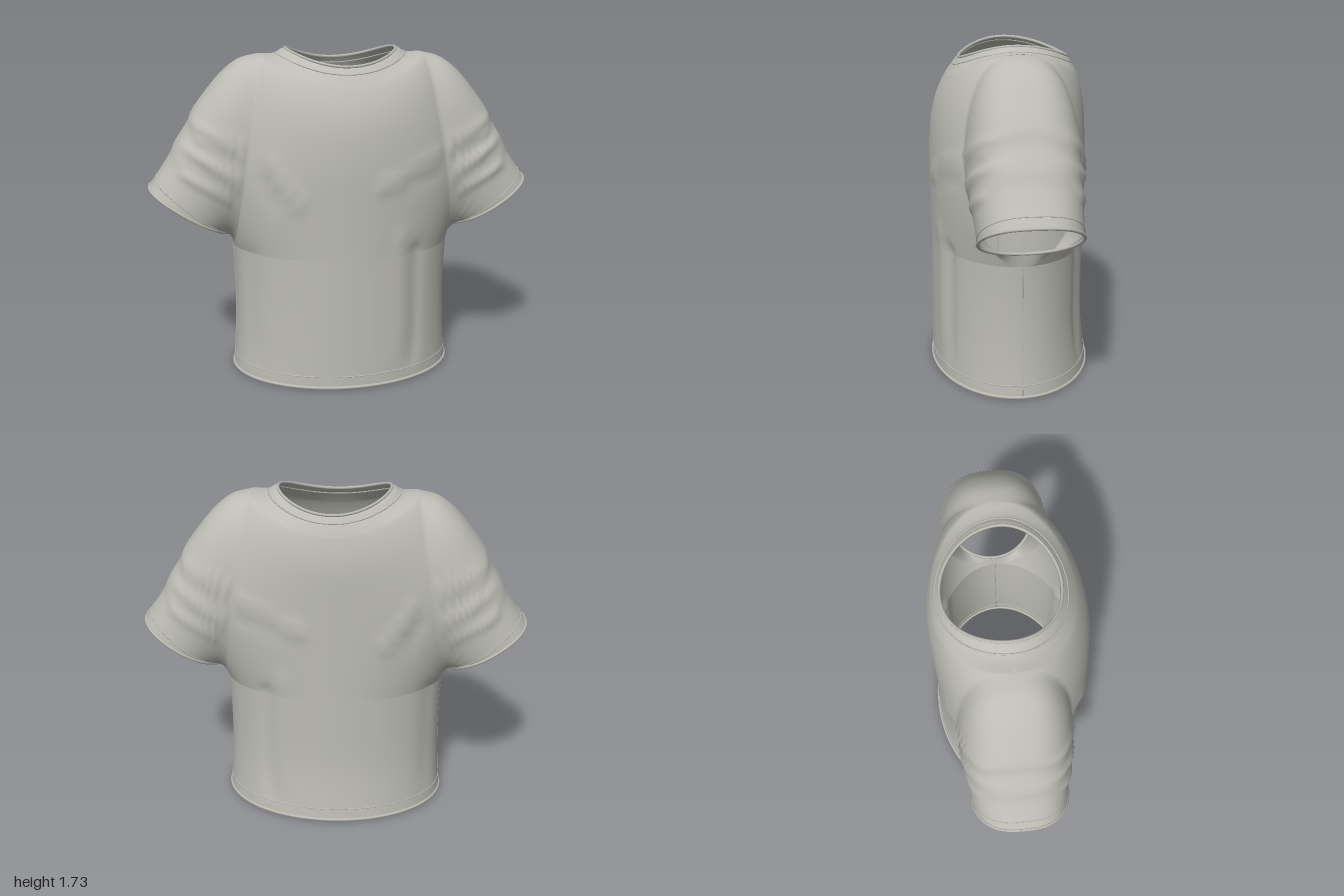
import * as THREE from 'three';
import { mergeGeometries, mergeVertices } from 'three/addons/utils/BufferGeometryUtils.js';

const lerp = THREE.MathUtils.lerp;
const STEPS = 28; // samples along half an armhole
const COLS = 56; // samples across a body panel

// Depth of the centre line at each height, as [y, z]
const FRONT = [[-0.2, 0.43], [0.1, 0.427], [0.7, 0.42], [1.15, 0.425], [1.3, 0.415], [1.4, 0.4], [1.5, 0.365], [1.6, 0.305], [1.645, 0.262], [1.75, 0.16]];
const BACK = [[-0.2, 0.45], [0, 0.42], [0.15, 0.4], [0.3, 0.383], [0.7, 0.38], [1.4, 0.38], [1.5, 0.365], [1.6, 0.335], [1.645, 0.3], [1.75, 0.22]];

// Cloth folds: start x, y, end x, y, height, width
const SLEEVE_FOLDS = [
  [0.53, 1.25, 0.8, 1.39, 0.014, 0.02], [0.56, 1.1, 0.84, 1.27, 0.016, 0.025],
  [0.6, 1.0, 0.82, 1.12, 0.012, 0.022], [0.56, 1.18, 0.74, 1.25, -0.01, 0.02],
];
const FOLDS = [
  [0.14, 1.07, 0.46, 1.19, 0.014, 0.025], [0.28, 1.07, 0.46, 1.12, -0.01, 0.025],
  [-0.42, 1.2, -0.25, 0.98, 0.014, 0.025], [-0.44, 1.14, -0.38, 0.98, -0.01, 0.025],
  [0.34, 0.15, 0.34, 0.72, -0.014, 0.035], [0.26, 0.2, 0.25, 0.8, 0.008, 0.04],
  [-0.5, 0.15, -0.5, 0.7, -0.01, 0.04],
  ...SLEEVE_FOLDS, ...SLEEVE_FOLDS.map(([a, b, c, d, h, w]) => [-a, b, -c, d, h, w]),
];

function linear(table, y) {
  let i = 0;
  while (i < table.length - 2 && y > table[i + 1][0]) i++;
  const [a, b] = [table[i], table[i + 1]];
  return lerp(a[1], b[1], (y - a[0]) / (b[0] - a[0]));
}

function profile(table, y) {
  return [-0.05, -0.025, 0, 0.025, 0.05].reduce((sum, d) => sum + linear(table, y + d) / 5, 0);
}

function crumple(p) {
  let push = 0;
  for (const [x1, y1, x2, y2, height, width] of FOLDS) {
    const dx = x2 - x1, dy = y2 - y1;
    const k = THREE.MathUtils.clamp(((p.x - x1) * dx + (p.y - y1) * dy) / (dx * dx + dy * dy), 0, 1);
    const d = Math.hypot(p.x - x1 - k * dx, p.y - y1 - k * dy);
    push += height * Math.exp(-((d / width) ** 2));
  }
  p.z += push * THREE.MathUtils.clamp(p.z / 0.2, -1, 1);
  return p;
}

// Sleeve rings fan out from the armpit; s = 0 is the armhole and s = 1 the cuff
const sleeveTop = new THREE.CatmullRomCurve3([
  [0.42, 1.695], [0.52, 1.67], [0.61, 1.605], [0.69, 1.515], [0.775, 1.4], [0.79, 1.36],
  [0.865, 1.245], [0.89, 1.19], [1, 1.025],
].map(([x, y]) => new THREE.Vector3(x, y, 0)));

function sleevePoint(s, angle) {
  const top = sleeveTop.getPointAt(s);
  const k = (1 - Math.cos(angle)) / 2;
  const sin = Math.sin(angle);
  const depth = sin > 0 ? lerp(0.27, 0.235, s) : lerp(0.28, 0.25, s);
  const round = Math.abs(sin) < 1e-6 ? 0 : Math.abs(sin) ** (k > 0.5 ? 0.75 : 1);
  return new THREE.Vector3(lerp(lerp(0.58, 0.59, s), top.x, k), lerp(lerp(0.7, 0.77, s), top.y, k), Math.sign(sin) * depth * round);
}

// Body rows: outer edge and centre height, from hem to neckline
function bodyRows() {
  const rows = [];
  for (const [y, x] of [[0.01, 0.595], [0.04, 0.593], [0.07, 0.589], [0.15, 0.583], [0.25, 0.577], [0.35, 0.574], [0.45, 0.573], [0.55, 0.574], [0.63, 0.577]]) {
    rows.push({ edge: () => new THREE.Vector3(x, y, 0), centre: y });
  }
  for (let i = 0; i <= STEPS; i++) {
    const angle = Math.PI * i / STEPS;
    rows.push({ edge: side => sleevePoint(0, side * angle), centre: lerp(0.7, 1.55, (1 - Math.cos(angle)) / 2) });
  }
  for (const [x, y, centre] of [[0.39, 1.692, 1.572], [0.36, 1.692, 1.592], [0.335, 1.697, 1.61], [0.32, 1.706, 1.62], [0.305, 1.717, 1.632], [0.285, 1.72, 1.645]]) {
    rows.push({ edge: () => new THREE.Vector3(x, y, 0), centre });
  }
  return rows;
}

function bodyPoint(row, side, u) {
  const edge = row.edge(side);
  const depth = profile(side > 0 ? FRONT : BACK, row.centre);
  const end = Math.acos(Math.min(1, Math.abs(edge.z) / depth));
  const t = u * end;
  const lift = (Math.sin(t) / Math.sin(end)) ** 2;
  return new THREE.Vector3(edge.x * Math.sin(t) / Math.sin(end), lerp(row.centre, edge.y, lift), side * depth * Math.cos(t));
}

function grid(rows, cols, point, flip) {
  const positions = [], index = [];
  for (let r = 0; r <= rows; r++) {
    for (let c = 0; c <= cols; c++) {
      positions.push(...crumple(point(r, c)).toArray());
      if (r === rows || c === cols) continue;
      const a = r * (cols + 1) + c, b = a + cols + 1;
      if (flip) index.push(a, b + 1, a + 1, a, b, b + 1);
      else index.push(a, a + 1, b + 1, a, b + 1, b);
    }
  }
  const g = new THREE.BufferGeometry();
  g.setAttribute('position', new THREE.Float32BufferAttribute(positions, 3));
  g.setIndex(index);
  return g;
}

export function createModel() {
  const shirt = new THREE.Group();
  shirt.name = 'shirt';
  const cloth = new THREE.MeshStandardMaterial({ color: 0xbcbcb4 });
  cloth.name = 'grey cloth';
  cloth.side = THREE.DoubleSide;

  const add = (name, geometry) => {
    const mesh = new THREE.Mesh(geometry, cloth);
    mesh.name = name;
    shirt.add(mesh);
  };
  const cord = (name, points, radius) => add(name,
    new THREE.TubeGeometry(new THREE.CatmullRomCurve3(points.map(crumple), true), 160, radius, 6, true));

  // Front, back and both sleeves share one smooth skin
  const rows = bodyRows();
  const SLEEVE_ROWS = 40;
  const mirrored = (p, side) => { p.x *= side; return p; };
  const panels = [1, -1].map(side =>
    grid(rows.length - 1, COLS, (r, c) => bodyPoint(rows[r], side, 2 * c / COLS - 1), side < 0));
  const sleeves = [1, -1].map(side =>
    grid(SLEEVE_ROWS, STEPS * 2, (r, c) => {
      const angle = c <= STEPS ? Math.PI * c / STEPS : -Math.PI * (2 * STEPS - c) / STEPS;
      return mirrored(sleevePoint(r / SLEEVE_ROWS, angle), side);
    }, side > 0));
  const skin = mergeVertices(mergeGeometries([...panels, ...sleeves]), 1e-4);
  skin.computeVertexNormals();
  add('bodyAndSleeves', skin);

  // Rolled edges and stitching on the hem and collar
  const bodyLoop = row => Array.from({ length: 64 }, (_, i) =>
    i < 32 ? bodyPoint(row, 1, i / 16 - 1) : bodyPoint(row, -1, 1 - (i - 32) / 16));
  cord('hemEdge', bodyLoop(rows[0]), 0.009);
  cord('hemStitch', bodyLoop(rows[2]), 0.003);
  cord('collarEdge', bodyLoop(rows[rows.length - 1]), 0.008);
  cord('collarStitch', bodyLoop(rows[rows.length - 4]), 0.004);

  // Cuffs, sleeve stitching and side seams
  for (const side of [1, -1]) {
    const label = side > 0 ? 'left' : 'right';
    const sleeveLoop = s => Array.from({ length: 48 }, (_, i) =>
      mirrored(sleevePoint(s, Math.PI * (i / 24 - 1)), side));
    cord(label + 'CuffEdge', sleeveLoop(1), 0.008);
    cord(label + 'CuffStitch', sleeveLoop(0.94), 0.003);
    const seam = rows.slice(0, 10).map(row => mirrored(row.edge(1), side));
    add(label + 'SideSeam', new THREE.TubeGeometry(new THREE.CatmullRomCurve3(seam), 40, 0.003, 6));
  }
  return shirt;
}
